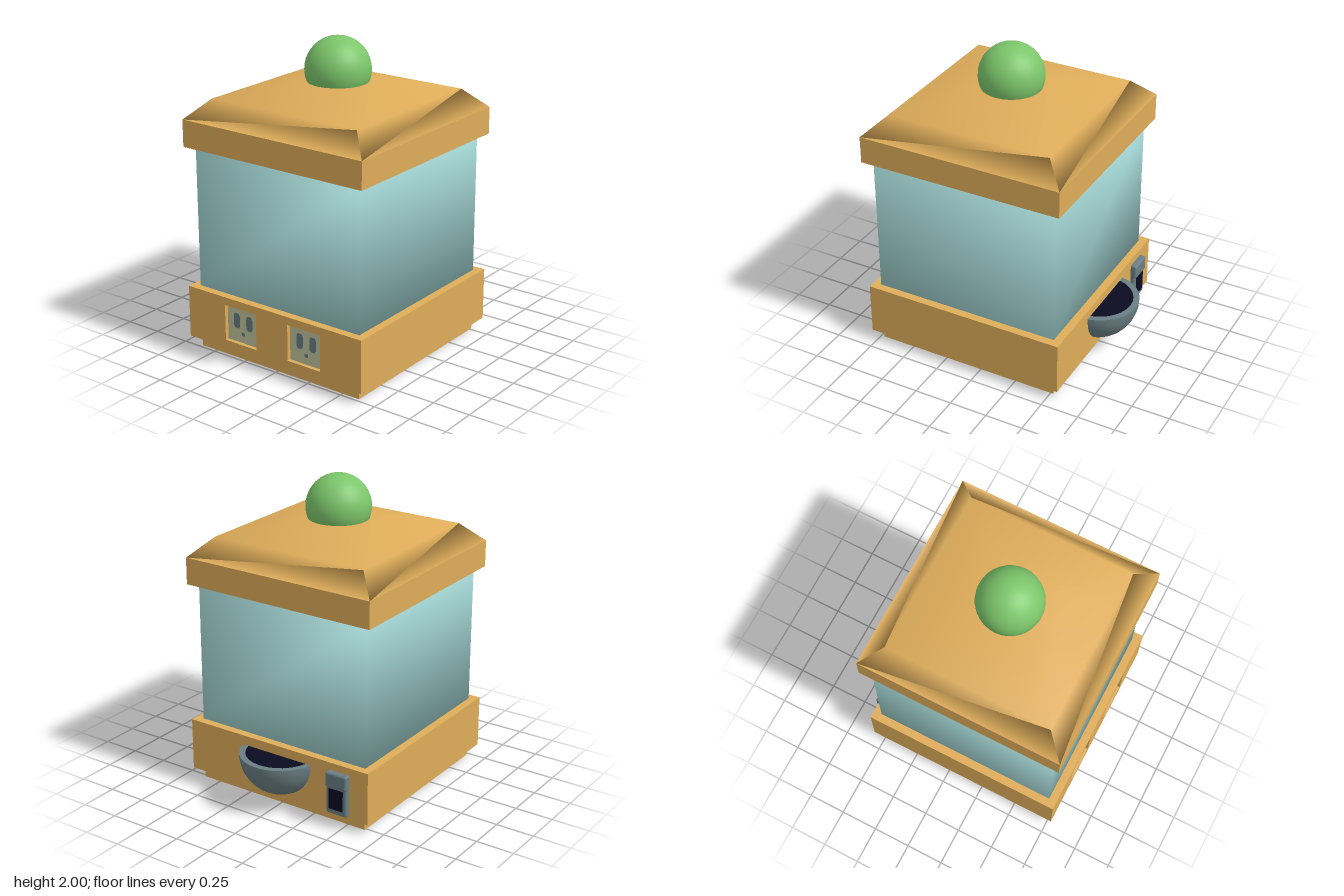
import * as THREE from 'three';
import { RoundedBoxGeometry } from 'three/addons/geometries/RoundedBoxGeometry.js';

const CZ = 0.105; // centre of the square body along z

function mat(name, color) {
  const m = new THREE.MeshStandardMaterial({ color });
  m.name = name;
  return m;
}

// Smooth closed loft through square loops given as [half width, height]
function squareLoft(loops) {
  const pos = [], idx = [];
  for (const [h, y] of loops) pos.push(h, y, h, h, y, -h, -h, y, -h, -h, y, h);
  for (let l = 0; l < loops.length - 1; l++) {
    for (let i = 0; i < 4; i++) {
      const a = l * 4 + i, b = l * 4 + (i + 1) % 4;
      idx.push(a, b, b + 4, a, b + 4, a + 4);
    }
  }
  const t = (loops.length - 1) * 4;
  idx.push(t, t + 1, t + 2, t, t + 2, t + 3, 0, 2, 1, 0, 3, 2);
  const g = new THREE.BufferGeometry();
  g.setAttribute('position', new THREE.Float32BufferAttribute(pos, 3));
  g.setIndex(idx);
  g.computeVertexNormals();
  return g;
}

function polygon(points) {
  return points.map(([x, y]) => new THREE.Vector2(x, y));
}

function rect(x0, x1, y0, y1) {
  return polygon([[x0, y0], [x1, y0], [x1, y1], [x0, y1]]);
}

export function createModel() {
  const root = new THREE.Group();
  root.name = 'dispenser';

  const gold = mat('gold', 0xdfad5a);
  const glass = mat('paleBlueGlass', 0xa3d6d4);
  const green = mat('green', 0x7cc66b);
  const metal = mat('greyMetal', 0x6a7f84);
  const dark = mat('darkOpening', 0x0b0b22);
  const plate = mat('paleOlive', 0xc0c59c);

  function add(name, geometry, material, x = 0, y = 0, z = 0, parent = root) {
    const m = new THREE.Mesh(geometry, material);
    m.name = name;
    m.position.set(x, y, z);
    parent.add(m);
    return m;
  }
  // Box from its limits
  function box(name, material, x0, x1, y0, y1, z0, z1, parent) {
    return add(name, new THREE.BoxGeometry(x1 - x0, y1 - y0, z1 - z0), material,
      (x0 + x1) / 2, (y0 + y1) / 2, (z0 + z1) / 2, parent);
  }

  // Foot and base; the front slab has two square recesses
  const W = 0.675, F = CZ + W, B = CZ - W, recess = 0.03;
  box('foot', gold, -0.622, 0.622, 0, 0.075, CZ - 0.622, CZ + 0.622);
  box('base', gold, -W, W, 0.072, 0.417, B, F - recess);
  const front = new THREE.Shape(rect(-W, W, 0.072, 0.417));
  const centres = [-0.25, 0.247];
  for (const x of centres) {
    front.holes.push(new THREE.Path(rect(x - 0.125, x + 0.125, 0.127, 0.365)));
  }
  add('baseFront', new THREE.ExtrudeGeometry(front, { depth: recess, bevelEnabled: false }),
    gold, 0, 0, F - recess);

  // Recessed socket plates with slots
  for (const x of centres) {
    const socket = new THREE.Group();
    socket.name = 'socket';
    socket.position.set(x, 0, F - recess);
    root.add(socket);
    box('socketPlate', plate, -0.125, 0.125, 0.127, 0.365, 0, 0.004, socket);
    for (const sx of [-0.05, 0.05]) {
      const slot = new THREE.Shape(polygon([
        [-0.014, -0.05], [0.014, -0.05], [0.025, -0.034], [0.025, 0.034],
        [0.014, 0.05], [-0.014, 0.05], [-0.025, 0.034], [-0.025, -0.034]]));
      add('socketSlot', new THREE.ShapeGeometry(slot), metal, sx, 0.27, 0.006, socket);
    }
    add('socketPin', new THREE.PlaneGeometry(0.027, 0.023), metal, 0, 0.187, 0.006, socket);
  }

  // Glass tank with softly shaded corners
  add('tank', squareLoft([[0.622, 0.417], [0.622, 1.34]]), glass, 0, 0, CZ);

  // Lid: flat rim, sloping roof and round knob
  box('lidRim', gold, -W, W, 1.338, 1.512, B, F);
  add('lidRoof', squareLoft([[W, 1.512], [0.545, 1.637], [0.2, 1.722]]), gold, 0, 0, CZ);
  add('knob', new THREE.SphereGeometry(0.207, 32, 20), green, 0, 1.793, CZ);

  // Half bowl on the back
  const bowl = new THREE.Group();
  bowl.name = 'bowl';
  bowl.position.set(0, 0.355, -0.52);
  root.add(bowl);
  const R = 0.265, r = 0.225;
  add('bowlShell', new THREE.SphereGeometry(R, 14, 10, Math.PI, Math.PI, Math.PI / 2, Math.PI / 2),
    metal, 0, 0, 0, bowl);
  add('bowlRim', new THREE.RingGeometry(r, R, 14, 1, 0, Math.PI),
    metal, 0, 0, 0, bowl).rotation.x = -Math.PI / 2;
  add('bowlOpening', new THREE.CircleGeometry(r, 14, 0, Math.PI),
    dark, 0, 0, 0, bowl).rotation.x = -Math.PI / 2;

  // Coin slot on the back: hood above a framed dark opening
  const coin = new THREE.Group();
  coin.name = 'coinSlot';
  coin.position.set(-0.466, 0, B);
  root.add(coin);
  add('coinHood', new RoundedBoxGeometry(0.155, 0.1, 0.08, 2, 0.014), metal, 0, 0.32, 0, coin);
  add('coinFrame', new RoundedBoxGeometry(0.15, 0.2, 0.06, 2, 0.014), metal, 0, 0.19, 0, coin);
  box('coinOpening', dark, -0.05, 0.05, 0.125, 0.262, -0.034, -0.028, coin);

  return root;
}
